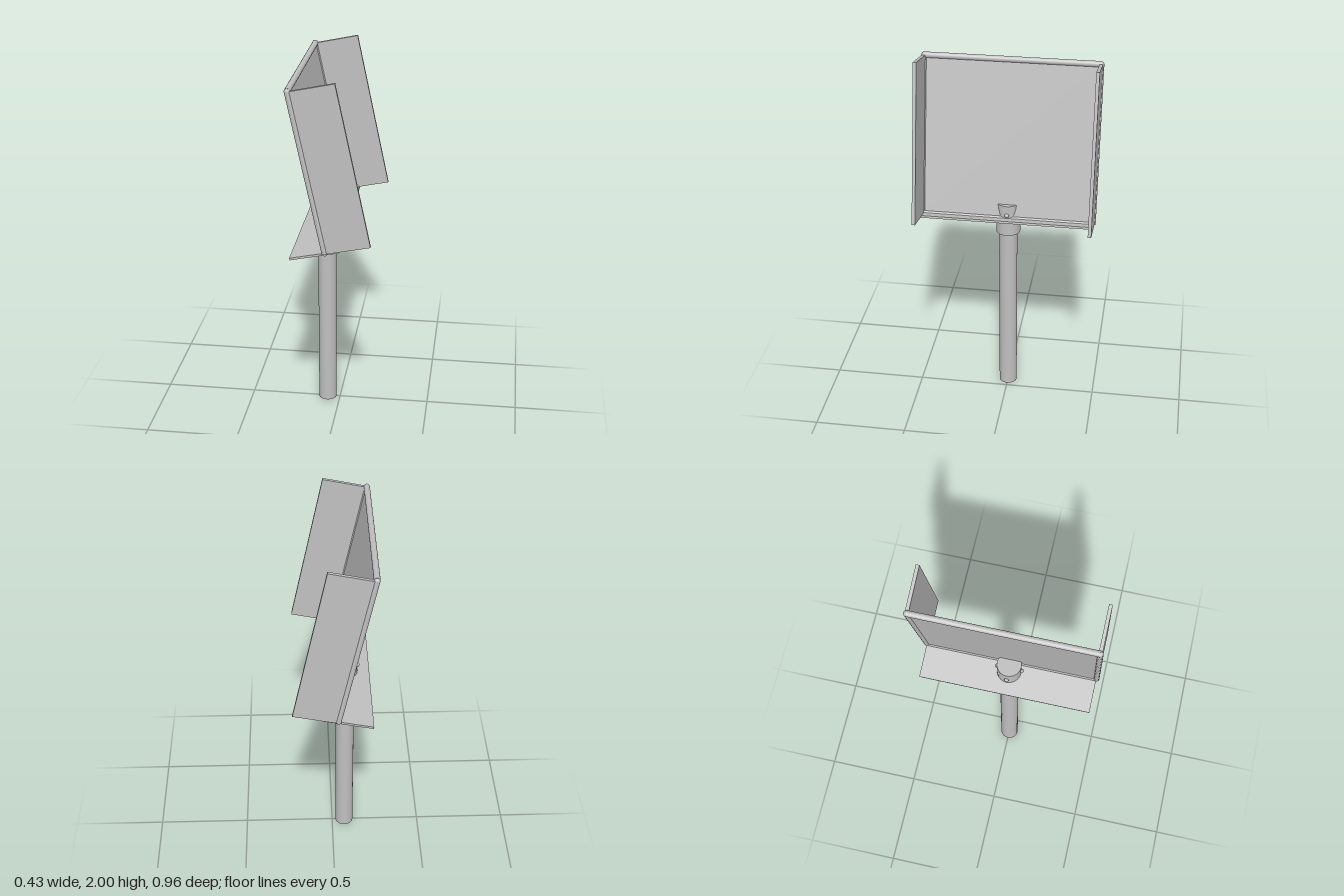
import * as THREE from 'three';

export function createModel() {
  const model = new THREE.Group();
  const grey = new THREE.MeshStandardMaterial({ color: 0xc0c0c0 });
  grey.name = 'metal grey';

  function add(parent, name, geometry, x = 0, y = 0, z = 0) {
    const mesh = new THREE.Mesh(geometry, grey);
    mesh.name = name;
    mesh.position.set(x, y, z);
    parent.add(mesh);
    return mesh;
  }

  // Pole and the clamp collar on top of it
  const poleX = -0.07;
  add(model, 'pole', new THREE.CylinderGeometry(0.05, 0.05, 1.02, 24), poleX, 0.51, 0);
  add(model, 'collar', new THREE.CylinderGeometry(0.066, 0.066, 0.18, 24), poleX, 1.09, 0);

  // Four round bolt heads around the collar
  for (let i = 0; i < 4; i++) {
    const a = (i * Math.PI) / 2;
    add(model, 'bolt', new THREE.SphereGeometry(0.012, 14, 10),
      poleX + 0.066 * Math.cos(a), 1.125, 0.066 * Math.sin(a));
  }

  // Everything on the head leans back together
  const head = new THREE.Group();
  head.name = 'head';
  head.position.set(-0.018, 1.102, 0);
  head.rotation.z = THREE.MathUtils.degToRad(12);
  model.add(head);

  const height = 0.866, side = 0.466, bead = 0.015;
  add(head, 'panel', new THREE.BoxGeometry(0.012, height, side * 2), 0, height / 2, 0);
  add(head, 'ledge', new THREE.BoxGeometry(0.258, 0.012, 0.93), -0.058, -0.003, 0);

  // Side wings with a round hinge bead along each corner
  for (const s of [-1, 1]) {
    add(head, 'wing', new THREE.BoxGeometry(0.24, height, 0.018), 0.12, height / 2, s * side);
    add(head, 'hingeBead', new THREE.CylinderGeometry(bead, bead, height, 16), 0, height / 2, s * side);
    add(head, 'beadCap', new THREE.SphereGeometry(bead, 16, 10), 0, height, s * side);
  }

  // Round beads along the top and bottom of the panel
  for (const [name, y, r] of [['topBead', height, 0.016], ['bottomBead', 0, 0.014]]) {
    add(head, name, new THREE.CylinderGeometry(r, r, side * 2, 16), 0, y, 0).rotation.x = Math.PI / 2;
  }

  return model;
}
